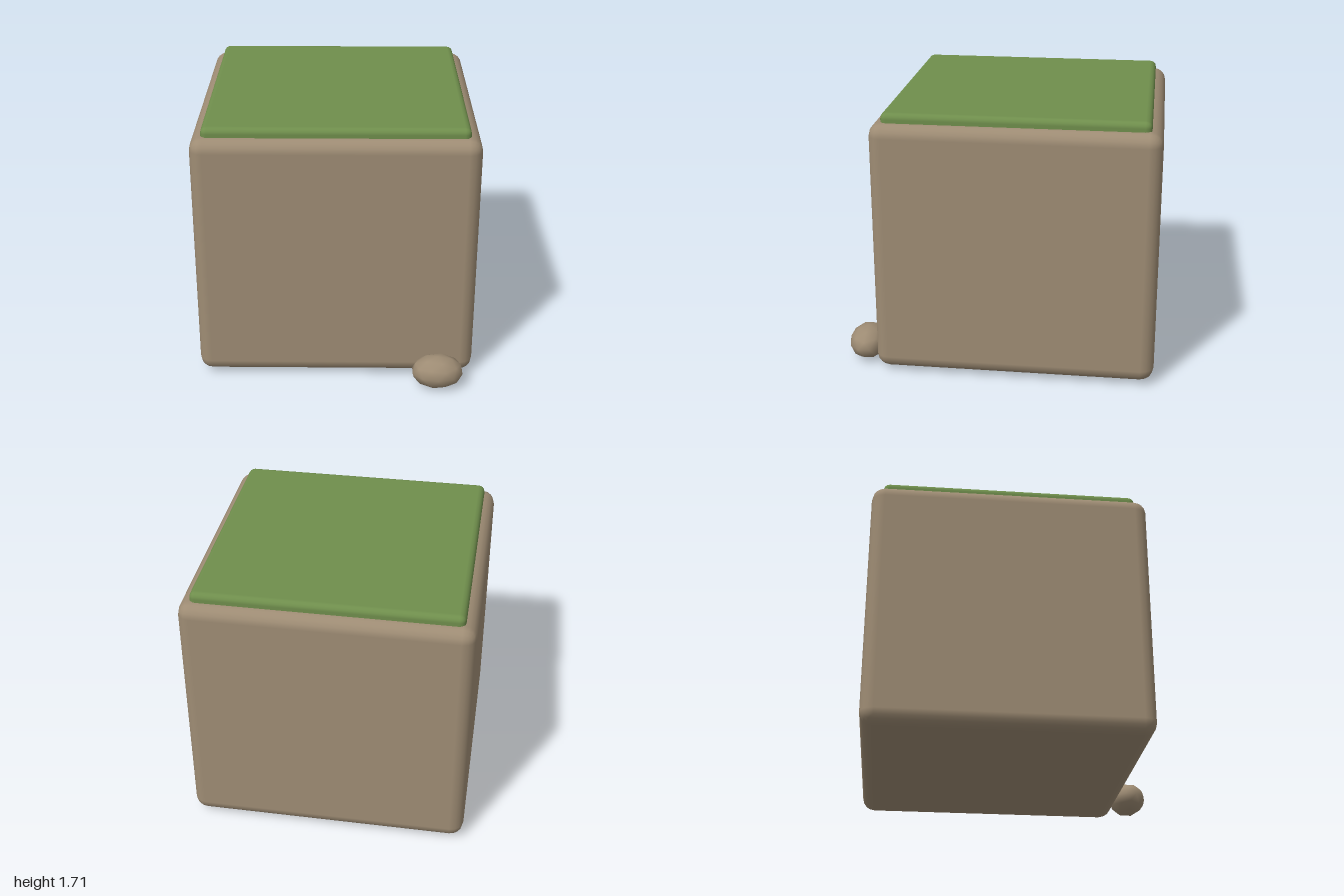
import * as THREE from 'three';
import { RoundedBoxGeometry } from 'three/addons/geometries/RoundedBoxGeometry.js';

export function createModel() {
  const group = new THREE.Group();
  const stone = new THREE.MeshStandardMaterial({ color: 0x9e8c74 });
  stone.name = 'stone';
  const moss = new THREE.MeshStandardMaterial({ color: 0x6f8e4c });
  moss.name = 'moss';

  const add = (name, geometry, material, x, y, z) => {
    const mesh = new THREE.Mesh(geometry, material);
    mesh.name = name;
    mesh.position.set(x, y, z);
    group.add(mesh);
  };

  // Large block with softened edges
  add('stoneBlock', new RoundedBoxGeometry(1.78, 1.63, 1.78, 2, 0.085), stone, 0, 0.84, -0.11);

  // Thin moss slab sunk slightly into the top
  add('mossTop', new RoundedBoxGeometry(1.64, 0.1, 1.64, 2, 0.04), moss, 0, 1.662, -0.11);

  // Flattened pebble, its pole turned upright before stretching
  const pebble = new THREE.IcosahedronGeometry(1, 1);
  pebble.rotateX(-Math.atan((1 + Math.sqrt(5)) / 2));
  pebble.rotateY(Math.PI / 2);
  pebble.scale(0.168, 0.108, 0.125);
  add('pebble', pebble, stone, 0.655, 0.108, 0.875);

  return group;
}
